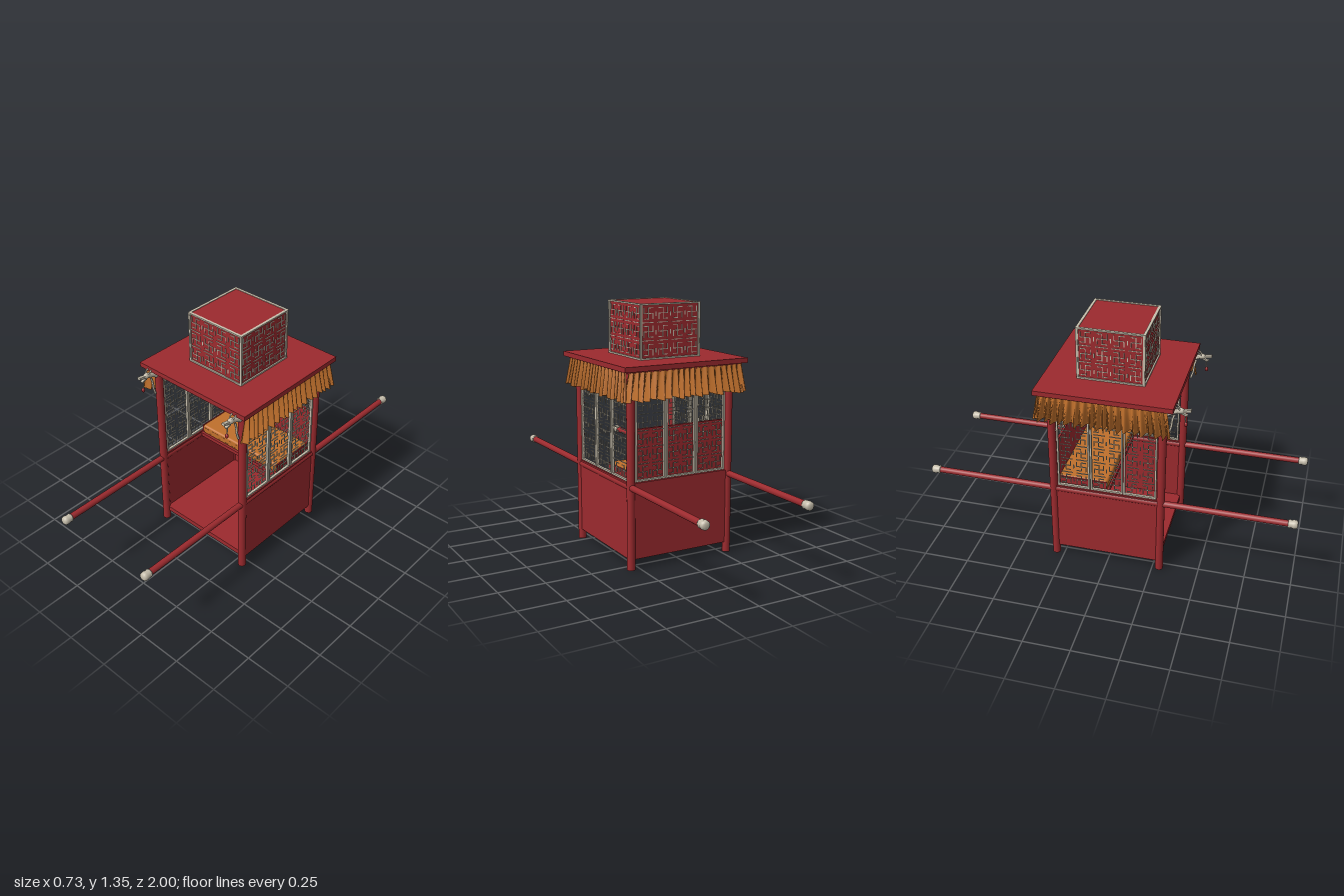
import * as THREE from 'three';
import { mergeGeometries } from 'three/addons/utils/BufferGeometryUtils.js';
import { RoundedBoxGeometry } from 'three/addons/geometries/RoundedBoxGeometry.js';

const mat = (name, color, side = THREE.FrontSide) => {
  const m = new THREE.MeshStandardMaterial({ color, side });
  m.name = name;
  return m;
};

export function createModel() {
  const lacquer = mat('red lacquer', 0x9c2a2e);
  const silver = mat('pale metal', 0xc6beac);
  const cloth = mat('orange cloth', 0xc0702c, THREE.DoubleSide);
  const dark = mat('dark embroidery', 0x6e3a1c);

  const root = new THREE.Group();
  const add = (name, geo, material, x = 0, y = 0, z = 0, parent = root) => {
    const m = new THREE.Mesh(geo, material);
    m.name = name;
    m.position.set(x, y, z);
    parent.add(m);
    return m;
  };
  // box given by its lower and upper limits
  const span = (name, material, x0, x1, y0, y1, z0, z1) =>
    add(name, new THREE.BoxGeometry(x1 - x0, y1 - y0, z1 - z0), material, (x0 + x1) / 2, (y0 + y1) / 2, (z0 + z1) / 2);

  const L = -0.288, R = 0.295, F = 0.288, B = -0.296; // post centre lines
  const CX = (L + R) / 2, CZ = (F + B) / 2;

  // Corner posts
  for (const x of [L, R]) for (const z of [F, B])
    add('cornerPost', new THREE.CylinderGeometry(0.0215, 0.0215, 1.035, 20), lacquer, x, 0.5175, z);

  // Top beams
  for (const z of [F, B]) {
    const b = add('crossBeam', new THREE.CylinderGeometry(0.021, 0.021, R - L, 16), lacquer, CX, 1.006, z);
    b.rotation.z = Math.PI / 2;
  }
  for (const x of [L, R]) {
    const b = add('sideBeam', new THREE.CylinderGeometry(0.021, 0.021, F - B, 16), lacquer, x, 1.006, CZ);
    b.rotation.x = Math.PI / 2;
  }

  // Lower body: floor, side panels, back panel, backrest
  span('floor', lacquer, L, R, 0.055, 0.083, B, F);
  for (const x of [L, R]) span('sidePanel', lacquer, x - 0.011, x + 0.011, 0.055, 0.458, B, F);
  span('backPanel', lacquer, L, R, 0.055, 0.458, B - 0.011, B + 0.011);
  span('backrest', lacquer, L + 0.01, R - 0.01, 0.44, 0.73, B + 0.014, B + 0.026);

  // Seat and cushion
  span('seatBoard', lacquer, L, R, 0.43, 0.452, B, 0.0);
  add('cushion', new RoundedBoxGeometry(0.54, 0.055, 0.265, 3, 0.012), cloth, CX, 0.479, -0.14);
  for (const s of [-1, 1]) add('cushionEnd', new THREE.BoxGeometry(0.006, 0.046, 0.26), lacquer, CX + s * 0.271, 0.481, -0.14);
  let seed = 7;
  const rnd = () => (seed = (seed * 16807) % 2147483647) / 2147483647;
  const spots = [];
  for (let i = 0; i < 30; i++) {
    const u = -0.25 + 0.5 * (i + rnd() * 0.6) / 30;
    const g = new THREE.CircleGeometry(0.004 + 0.004 * rnd(), 6);
    g.scale(1.3, 0.7, 1);
    g.translate(CX + u, rnd() < 0.7 ? 0.492 : 0.468, -0.0065);
    spots.push(g);
  }
  add('cushionEmbroidery', mergeGeometries(spots), dark);

  // Lattice of pinwheel cells with its frame, centred in the XY plane
  const bar = (x0, y0, x1, y1, t, d) => {
    const g = new THREE.BoxGeometry(Math.abs(x1 - x0) + t, Math.abs(y1 - y0) + t, d);
    g.translate((x0 + x1) / 2, (y0 + y1) / 2, 0);
    return g;
  };
  const lattice = (w, h, cols, rows, frame) => {
    const out = [], cw = w / cols, ch = h / rows, t = 0.0035, d = 0.005;
    for (const s of [-1, 1]) {
      out.push(bar(-w / 2, s * h / 2, w / 2, s * h / 2, frame, 0.014));
      out.push(bar(s * w / 2, -h / 2, s * w / 2, h / 2, frame, 0.014));
    }
    for (let i = 0; i < cols; i++) for (let j = 0; j < rows; j++) {
      const x = -w / 2 + (i + 0.5) * cw, y = -h / 2 + (j + 0.5) * ch;
      const a = cw * 0.3, b = ch * 0.3, m = (i + j) % 2 ? 1 : -1;
      out.push(bar(x - a, y, x + a, y, t, d), bar(x, y - b, x, y + b, t, d));
      for (const s of [-1, 1]) {
        out.push(bar(x + s * a, y, x + s * a, y + s * m * b, t, d));
        out.push(bar(x, y + s * b, x - s * m * a, y + s * b, t, d));
        out.push(bar(x + s * cw / 2 * 0.98, y - b * 0.5, x + s * cw / 2 * 0.98, y + b * 0.2, t, d));
      }
      if (j) out.push(bar(x - cw * 0.4, y - ch / 2, x + cw * 0.3, y - ch / 2, t, d));
    }
    return mergeGeometries(out);
  };

  // Three windows on each side and at the back
  const windowGeo = lattice(0.166, 0.512, 2, 6, 0.009);
  for (const k of [-1, 0, 1]) {
    add('backWindow', windowGeo, silver, CX + k * 0.179, 0.722, B);
    for (const x of [L, R]) add('sideWindow', windowGeo, silver, x, 0.722, CZ + k * 0.179).rotation.y = Math.PI / 2;
  }

  // Roof slab and lantern
  span('roof', lacquer, -0.357, 0.362, 1.034, 1.06, -0.367, 0.35);
  span('roofUnderlayer', lacquer, -0.335, 0.34, 1.024, 1.036, -0.345, 0.328);
  const LZ = -0.01, half = 0.172;
  add('lanternBody', new THREE.BoxGeometry(0.343, 0.284, 0.343), lacquer, 0, 1.2, LZ);
  const lanternGeo = lattice(0.345, 0.276, 4, 3, 0.008);
  for (let k = 0; k < 4; k++) {
    const a = k * Math.PI / 2;
    add('lanternLattice', lanternGeo, silver, Math.sin(a) * half, 1.203, LZ + Math.cos(a) * half).rotation.y = a;
  }

  // Pleated valance, flaring towards the hem
  const valanceGeo = () => {
    const g = new THREE.PlaneGeometry(0.66, 0.145, 160, 5), p = g.attributes.position;
    for (let i = 0; i < p.count; i++) {
      const x = p.getX(i), y = p.getY(i), t = 0.5 - y / 0.145;
      const ph = x * 2 * Math.PI * 28 + 1.2 * Math.sin(x * 23);
      const wave = Math.sin(ph);
      p.setXYZ(i, x * (1 + 0.07 * t) + 0.004 * t * Math.cos(ph * 0.5),
        y + t * 0.006 * Math.sin(x * 61), (0.006 + 0.016 * t) * wave + 0.006 * t);
    }
    g.computeVertexNormals();
    return g;
  };
  const valance = valanceGeo();
  add('leftValance', valance, cloth, 0.341, 0.957, -0.012).rotation.y = Math.PI / 2;
  add('rightValance', valance, cloth, -0.338, 0.957, -0.012).rotation.y = -Math.PI / 2;
  add('backValance', valance, cloth, 0.002, 0.957, -0.348).rotation.y = Math.PI;

  // Carrying poles with capped ends
  for (const x of [L, R]) {
    const pole = add('carryingPole', new THREE.CylinderGeometry(0.017, 0.017, 1.94, 16), lacquer, x, 0.437, 0);
    pole.rotation.x = Math.PI / 2;
    for (const s of [-1, 1]) {
      const pts = [[0, 0.025], [0.014, 0.025], [0.022, 0.018], [0.024, 0.004], [0.02, -0.01], [0.023, -0.018], [0.02, -0.025], [0, -0.025]];
      const cap = add('poleCap', new THREE.LatheGeometry(pts.map(q => new THREE.Vector2(q[0], q[1])).reverse(), 16), silver, x, 0.437, s * 0.975);
      cap.rotation.x = s * Math.PI / 2;
    }
  }

  // Beast-head ornaments under the front eave, each with a hanging pendant
  const v = (x, y, z) => new THREE.Vector3(x, y, z);
  const tube = (pts, r) => new THREE.TubeGeometry(new THREE.CatmullRomCurve3(pts), 14, r, 6);
  for (const x of [L, R]) {
    const o = new THREE.Group();
    o.name = 'beastOrnament';
    o.position.x = x;
    root.add(o);
    add('neck', tube([v(0, 0.985, 0.3), v(0, 1.0, 0.325), v(0, 1.015, 0.36)], 0.012), silver, 0, 0, 0, o);
    add('head', new THREE.SphereGeometry(0.018, 12, 8), silver, 0, 1.018, 0.372, o).scale.set(0.8, 0.9, 1.3);
    add('upperJaw', new THREE.BoxGeometry(0.018, 0.012, 0.042), silver, 0, 1.022, 0.407, o).rotation.x = -0.2;
    add('lowerJaw', new THREE.BoxGeometry(0.014, 0.008, 0.032), silver, 0, 1.0, 0.395, o).rotation.x = 0.25;
    for (const s of [-1, 1])
      add('horn', tube([v(s * 0.008, 1.025, 0.375), v(s * 0.012, 1.038, 0.36), v(s * 0.012, 1.046, 0.345)], 0.004), silver, 0, 0, 0, o);
    add('mane', tube([v(0, 0.995, 0.345), v(0, 0.96, 0.335), v(0, 0.92, 0.33), v(0, 0.88, 0.318)], 0.006), silver, 0, 0, 0, o);
    add('pendantChain', tube([v(0, 1.0, 0.4), v(0, 0.975, 0.398), v(0, 0.95, 0.402)], 0.003), silver, 0, 0, 0, o);
    add('pendantBead', new THREE.SphereGeometry(0.009, 10, 8), lacquer, 0, 0.944, 0.402, o).scale.y = 1.5;
  }
  return root;
}
